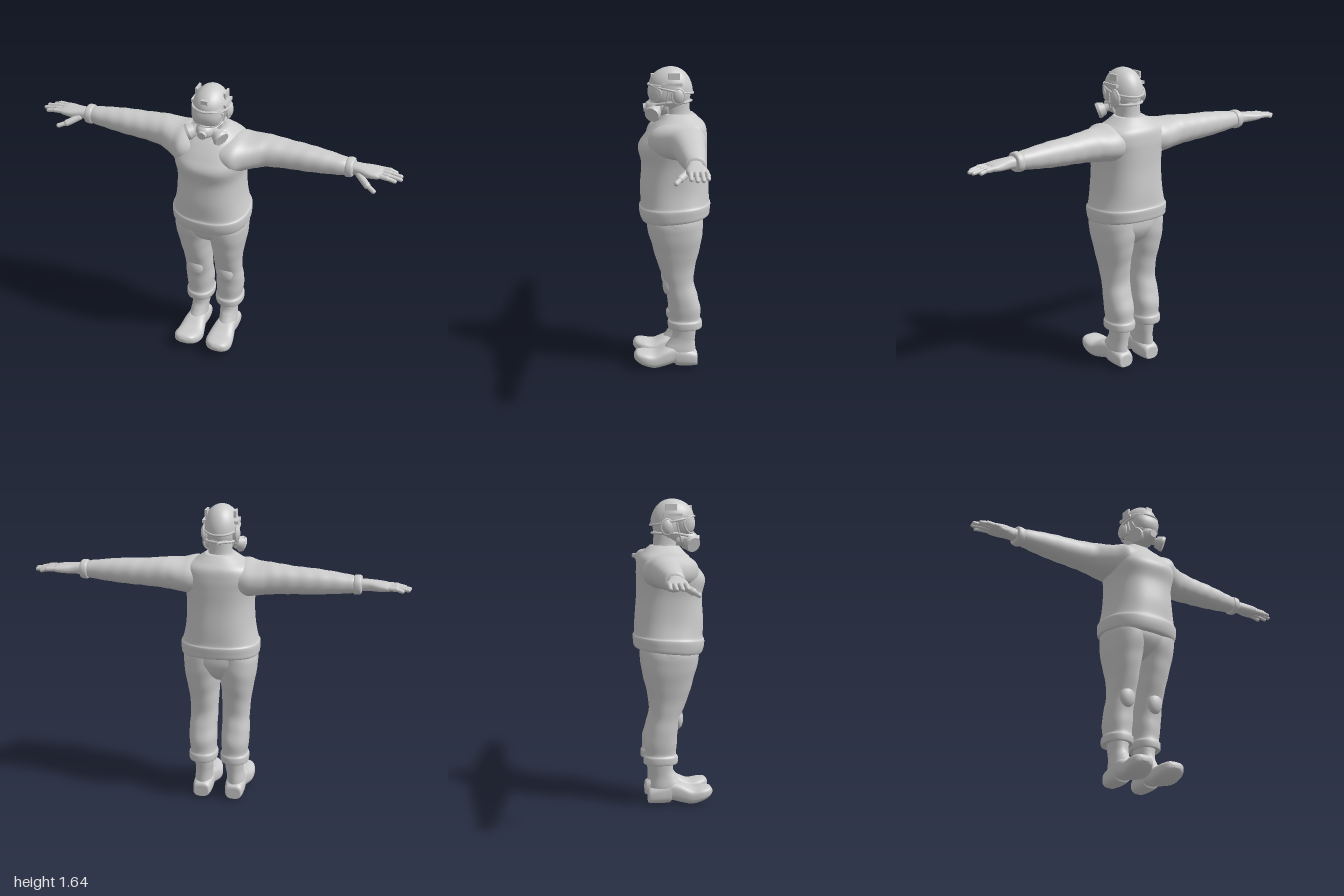
import * as THREE from 'three';

const material = new THREE.MeshStandardMaterial({ color: 0xcccccc, side: THREE.DoubleSide });
// Cross-section axes for each loft direction (u x v = w)
const AXES = { x: ['y', 'z'], y: ['z', 'x'], z: ['x', 'y'] };

// Smooth skin through sections [w, uMin, uMax, vMin, vMax]; power > 2 squares the outline
function loft(axis, sections, { power = 2.2, sides = 40, steps = 6, fold = () => 1, shift } = {}) {
  const [u, v] = AXES[axis], pos = [], index = [], p = new THREE.Vector3();
  const n = (sections.length - 1) * steps;
  const at = (k) => sections[Math.min(Math.max(k, 0), sections.length - 1)];
  const put = (w, a, b) => {
    p[axis] = w; p[u] = a; p[v] = b;
    if (shift) shift(p);
    pos.push(p.x, p.y, p.z);
  };
  const round = (c) => Math.sign(c) * Math.abs(c) ** (2 / power);
  for (let i = 0; i <= n; i++) {
    const k = Math.min(Math.floor(i / steps), sections.length - 2), t = i / steps - k;
    const s = at(k).map((b, j) => {
      const a = at(k - 1)[j], c = at(k + 1)[j], d = at(k + 2)[j];
      return b + 0.5 * t * (c - a + t * (2 * a - 5 * b + 4 * c - d + t * (3 * (b - c) + d - a)));
    });
    for (let j = 0; j < sides; j++) {
      const q = j / sides * Math.PI * 2, f = fold(s[0], q);
      put(s[0], (s[1] + s[2]) / 2 + round(Math.cos(q)) * f * (s[2] - s[1]) / 2,
        (s[3] + s[4]) / 2 + round(Math.sin(q)) * f * (s[4] - s[3]) / 2);
      if (i < n) {
        const a = i * sides + j, b = i * sides + (j + 1) % sides;
        index.push(a, b, b + sides, a, b + sides, a + sides);
      }
    }
  }
  // End caps
  for (const [s, row] of [[sections[0], 0], [sections.at(-1), n]]) {
    const centre = pos.length / 3;
    put(s[0], (s[1] + s[2]) / 2, (s[3] + s[4]) / 2);
    for (let j = 0; j < sides; j++) {
      const a = row * sides + j, b = row * sides + (j + 1) % sides;
      index.push(centre, ...(row ? [a, b] : [b, a]));
    }
  }
  const g = new THREE.BufferGeometry();
  g.setAttribute('position', new THREE.Float32BufferAttribute(pos, 3));
  g.setIndex(index);
  g.computeVertexNormals();
  return g;
}

const V = (p) => new THREE.Vector3(...p);
const UP = new THREE.Vector3(0, 1, 0);
const ball = (c, r) => new THREE.SphereGeometry(1, 28, 20).scale(...r).translate(...c);
const box = (c, s) => new THREE.BoxGeometry(...s).translate(...c);
const tube = (pts, r, closed = false) =>
  new THREE.TubeGeometry(new THREE.CatmullRomCurve3(pts.map(V), closed), 48, r, 8, closed);

// Geometry made along y, placed from point a toward point b
function between(g, a, b) {
  const d = V(b).sub(V(a));
  return g.applyQuaternion(new THREE.Quaternion().setFromUnitVectors(UP, d.clone().normalize()))
    .translate(...V(a).add(V(b)).multiplyScalar(0.5).toArray());
}
const capsule = (a, b, r) => between(new THREE.CapsuleGeometry(r, V(a).distanceTo(V(b)), 6, 14), a, b);
const cylinder = (a, b, r0, r1) =>
  between(new THREE.CylinderGeometry(r1, r0, V(a).distanceTo(V(b)), 28), a, b);

function mirror(g) {
  const m = g.clone().scale(-1, 1, 1), idx = m.index.array;
  for (let i = 0; i < idx.length; i += 3) [idx[i], idx[i + 1]] = [idx[i + 1], idx[i]];
  const nor = m.attributes.normal;
  const src = g.attributes.normal;
  for (let i = 0; i < nor.count; i++) nor.setXYZ(i, -src.getX(i), src.getY(i), src.getZ(i));
  return m;
}

export function createModel() {
  const model = new THREE.Group();
  model.name = 'maskedFigure';
  const add = (name, g) => {
    const mesh = new THREE.Mesh(g, material);
    mesh.name = name;
    model.add(mesh);
  };
  const pair = (name, g) => { add(name + 'Left', g); add(name + 'Right', mirror(g)); };

  // Sweater body, hem dipping toward the front
  add('sweater', loft('y', [
    [0.835, -0.18, 0.14, -0.185, 0.185], [0.84, -0.2, 0.16, -0.205, 0.205],
    [0.87, -0.205, 0.173, -0.21, 0.21], [0.905, -0.207, 0.176, -0.21, 0.21],
    [0.925, -0.2, 0.168, -0.2, 0.2], [1.01, -0.197, 0.17, -0.183, 0.183],
    [1.13, -0.188, 0.163, -0.178, 0.178], [1.22, -0.188, 0.18, -0.19, 0.19],
    [1.28, -0.187, 0.145, -0.2, 0.2], [1.335, -0.178, 0.1, -0.175, 0.175],
    [1.37, -0.148, 0.065, -0.12, 0.12], [1.4, -0.115, 0.04, -0.075, 0.075],
  ], { power: 2.4, sides: 56, shift: (p) => { if (p.y < 1) p.y -= 0.6 * (1 - p.y) * p.z; } }));

  // Sleeves with soft creases, and cuffs
  pair('sleeve', loft('x', [
    [0.06, 1.19, 1.355, -0.15, 0.12], [0.14, 1.175, 1.365, -0.17, 0.13], [0.2, 1.185, 1.358, -0.168, 0.085],
    [0.29, 1.2, 1.36, -0.155, 0.03], [0.4, 1.208, 1.35, -0.148, 0.01],
    [0.5, 1.212, 1.345, -0.142, 0.002], [0.6, 1.22, 1.335, -0.133, -0.008],
    [0.69, 1.23, 1.323, -0.122, -0.02], [0.715, 1.238, 1.315, -0.115, -0.028],
  ], { fold: (x, q) => 1 + (x > 0.25 ? 0.014 : 0) * Math.sin(x * 75 + 2 * Math.sin(q)) }));
  pair('cuff', loft('x', [
    [0.705, 1.24, 1.31, -0.11, -0.032], [0.71, 1.225, 1.325, -0.125, -0.02],
    [0.74, 1.228, 1.325, -0.125, -0.02], [0.748, 1.24, 1.31, -0.11, -0.035],
  ], { steps: 4 }));

  // Hands
  pair('palm', loft('x', [
    [0.73, 1.245, 1.308, -0.107, -0.037], [0.78, 1.248, 1.305, -0.108, -0.03],
    [0.83, 1.25, 1.3, -0.122, -0.02], [0.875, 1.256, 1.294, -0.128, -0.022],
    [0.895, 1.265, 1.285, -0.12, -0.03],
  ], { power: 2.5 }));
  [[-0.117, 0.955], [-0.092, 0.985], [-0.064, 0.99], [-0.037, 0.965]].forEach(([z, tip], i) => {
    const mid = [0.925, 1.275, z];
    pair('fingerBase' + (i + 1), capsule([0.87, 1.277, z * 0.9 - 0.007], mid, 0.0125));
    pair('fingerTip' + (i + 1), capsule(mid, [tip, 1.266, z], 0.0105));
  });
  pair('thumbBase', capsule([0.78, 1.262, -0.04], [0.835, 1.238, 0.005], 0.018));
  pair('thumbTip', capsule([0.835, 1.238, 0.005], [0.875, 1.226, 0.027], 0.0125));

  // Trousers: seat, legs with rolled cuffs, knee pads
  add('trouserSeat', loft('y', [
    [0.7, -0.09, 0.04, -0.05, 0.05], [0.74, -0.135, 0.1, -0.13, 0.13],
    [0.8, -0.165, 0.138, -0.197, 0.197], [0.87, -0.165, 0.14, -0.19, 0.19],
  ]));
  pair('trouserLeg', loft('y', [
    [0.235, -0.14, 0.01, 0.03, 0.145], [0.23, -0.158, 0.022, 0.012, 0.163],
    [0.265, -0.16, 0.026, 0.009, 0.166], [0.285, -0.152, 0.016, 0.016, 0.157],
    [0.35, -0.15, 0.02, 0.013, 0.165], [0.42, -0.13, 0.026, 0.014, 0.165],
    [0.5, -0.113, 0.045, 0.013, 0.162], [0.6, -0.126, 0.082, 0.01, 0.17],
    [0.7, -0.15, 0.11, 0, 0.188], [0.8, -0.163, 0.137, -0.02, 0.2], [0.86, -0.16, 0.135, -0.02, 0.19],
  ], { fold: (y, q) => 1 + 0.008 * Math.sin(y * 60 + 2 * Math.sin(q)) }));
  pair('kneePad', ball([0.088, 0.475, 0.025], [0.046, 0.06, 0.029]));

  // Boots with upturned toes
  pair('bootShaft', loft('y', [
    [0.04, -0.125, 0.04, 0.045, 0.135], [0.1, -0.122, 0.05, 0.042, 0.138],
    [0.15, -0.122, 0.02, 0.04, 0.132], [0.19, -0.126, 0, 0.035, 0.133], [0.26, -0.135, 0, 0.03, 0.14],
  ]));
  pair('bootFoot', loft('z', [
    [-0.136, 0.06, 0.12, 0.02, 0.06], [-0.13, 0.045, 0.135, 0.012, 0.09],
    [-0.08, 0.036, 0.142, 0.01, 0.11], [-0.022, 0.036, 0.142, 0.013, 0.125],
    [-0.008, 0.036, 0.142, 0.026, 0.13], [0.04, 0.026, 0.152, 0.014, 0.12],
    [0.1, 0.015, 0.162, 0.005, 0.095], [0.155, 0.022, 0.164, 0.02, 0.1],
    [0.195, 0.045, 0.148, 0.043, 0.1], [0.212, 0.08, 0.115, 0.062, 0.082],
  ], { power: 2.8 }));

  // Neck and head
  add('neck', loft('y', [
    [1.36, -0.12, 0.04, -0.08, 0.08], [1.4, -0.098, 0.035, -0.063, 0.063], [1.48, -0.095, 0.04, -0.06, 0.06],
  ]));
  add('head', ball([0, 1.505, 0], [0.078, 0.105, 0.1]));

  // Helmet shell, its edge sloping down to the nape
  const rim = (z) => 1.53 + 0.2 * z;
  const shell = new THREE.SphereGeometry(1, 48, 20, 0, Math.PI * 2, 0, Math.PI / 2);
  const p = shell.attributes.position;
  for (let i = 0; i < p.count; i++) {
    const z = p.getZ(i) * 0.116 + 0.004, e = rim(z);
    p.setXYZ(i, p.getX(i) * 0.092, e + p.getY(i) * (1.646 - e), z);
  }
  shell.computeVertexNormals();
  add('helmetShell', shell);
  add('helmetRim', tube(Array.from({ length: 16 }, (_, i) => {
    const q = i / 8 * Math.PI, z = Math.cos(q) * 0.117 + 0.004;
    return [Math.sin(q) * 0.093, rim(z), z];
  }), 0.006, true));
  add('helmetMount', box([0, 1.592, 0.1], [0.035, 0.035, 0.02]));
  pair('helmetRail', box([0.083, 1.562, 0], [0.022, 0.016, 0.1]));
  pair('helmetPad', box([0.076, 1.603, -0.008], [0.012, 0.035, 0.06]));

  // Ear cups and straps
  pair('earCup', ball([0.082, 1.5, -0.03], [0.022, 0.042, 0.032]));
  pair('earCupRing', new THREE.TorusGeometry(0.032, 0.007, 8, 28).rotateY(Math.PI / 2)
    .scale(1, 1.2, 1).translate(0.086, 1.5, -0.03));
  pair('maskStrap', tube([[0.05, 1.45, 0.09], [0.076, 1.465, 0.02], [0.07, 1.465, -0.06], [0, 1.465, -0.105]], 0.007));
  pair('chinStrap', tube([[0.086, 1.54, 0.02], [0.078, 1.48, 0.03], [0.05, 1.42, 0.05], [0, 1.4, 0.06]], 0.005));

  // Full-face mask: visor, frame, muzzle, valve, filters
  add('visor', loft('y', [
    [1.455, 0, 0.09, -0.05, 0.05], [1.475, 0, 0.117, -0.07, 0.07],
    [1.515, -0.01, 0.128, -0.08, 0.08], [1.56, -0.01, 0.117, -0.08, 0.08],
  ], { power: 2.4 }));
  add('visorFrame', tube([
    [0, 1.553, 0.124], [0.06, 1.551, 0.098], [0.081, 1.52, 0.06], [0.067, 1.475, 0.08],
    [0, 1.466, 0.118], [-0.067, 1.475, 0.08], [-0.081, 1.52, 0.06], [-0.06, 1.551, 0.098],
  ], 0.006, true));
  add('muzzle', loft('z', [
    [0.02, -0.06, 0.06, 1.39, 1.48], [0.09, -0.05, 0.05, 1.392, 1.475],
    [0.125, -0.036, 0.036, 1.402, 1.465], [0.14, -0.02, 0.02, 1.415, 1.452],
  ]));
  add('exhaleValve', cylinder([0, 1.432, 0.12], [0, 1.428, 0.15], 0.025, 0.022));
  const along = (t) => [0.042 + 0.72 * t, 1.428 - 0.3 * t, 0.078 + 0.42 * t];
  pair('filterNeck', cylinder(along(-0.02), along(0.03), 0.022, 0.022));
  pair('filter', cylinder(along(0.025), along(0.062), 0.032, 0.042));
  pair('filterRim', cylinder(along(0.06), along(0.076), 0.044, 0.04));

  return model;
}
